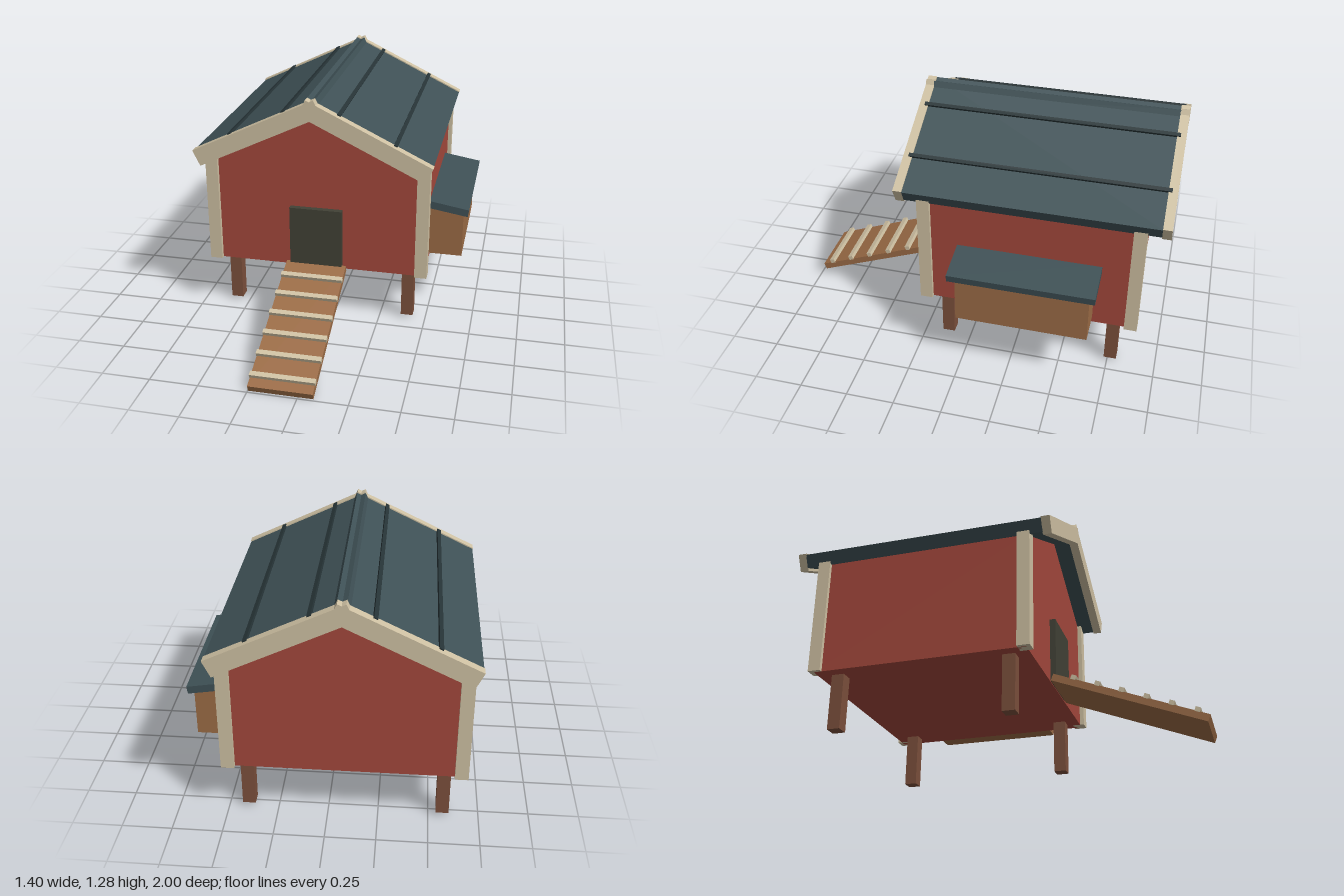
import * as THREE from 'three';

const mat = (name, color) => Object.assign(new THREE.MeshStandardMaterial({ color }), { name });

export function createModel() {
  const red = mat('barn red', 0xa4483c);
  const cream = mat('cream trim', 0xcfc1a3);
  const slate = mat('slate roof', 0x3f5156);
  const seam = mat('dark seam', 0x263336);
  const wood = mat('warm wood', 0x9c6c46);
  const legWood = mat('leg wood', 0x7c503c);
  const dark = mat('dark door', 0x424236);

  const model = new THREE.Group();
  model.name = 'henHouse';
  // The house is centred off the origin; the ramp and nest box fill the rest
  const house = new THREE.Group();
  house.name = 'house';
  house.position.set(-0.085, 0, -0.3225);
  model.add(house);

  const add = (parent, name, geometry, material, x = 0, y = 0, z = 0) => {
    const mesh = new THREE.Mesh(geometry, material);
    mesh.name = name;
    mesh.position.set(x, y, z);
    parent.add(mesh);
    return mesh;
  };
  const box = (parent, name, material, size, pos) =>
    add(parent, name, new THREE.BoxGeometry(...size), material, ...pos);
  const prism = (points, depth) => new THREE.ExtrudeGeometry(
    new THREE.Shape(points.map(([x, y]) => new THREE.Vector2(x, y))),
    { depth, bevelEnabled: false });

  // Gabled body
  const hw = 0.575, hd = 0.545;
  add(house, 'body', prism(
    [[-hw, 0.305], [hw, 0.305], [hw, 0.91], [0, 1.188], [-hw, 0.91]], hd * 2), red, 0, 0, -hd);

  // Corner posts and legs
  for (const sx of [-1, 1]) for (const sz of [-1, 1]) {
    box(house, 'cornerPost', cream, [0.065, 0.62, 0.065], [sx * 0.5625, 0.615, sz * 0.535]);
    box(house, 'leg', legWood, [0.065, 0.29, 0.065], [sx * 0.485, 0.165, sz * 0.4425]);
  }

  // Roof halves: local x runs up the slope, y = 0 is the top of the barge boards
  const pitch = Math.atan(0.483), slope = 0.711;
  for (const side of [-1, 1]) {
    const half = new THREE.Group();
    half.name = side < 0 ? 'rightRoof' : 'leftRoof';
    half.position.set(side * 0.62, 0.97, 0);
    half.rotation.z = -side * pitch;
    house.add(half);
    const mid = -side * slope / 2;
    box(half, 'roofPanel', slate, [slope, 0.07, 1.27], [mid, -0.041, 0]);
    for (const sz of [-1, 1])
      box(half, 'bargeBoard', cream, [slope, 0.09, 0.045], [mid, -0.045, sz * 0.655]);
    for (const d of [0.142, 0.427])
      box(half, 'roofSeam', seam, [0.02, 0.016, 1.3],
        [-side * (0.62 - d) / Math.cos(pitch), -0.002, 0]);
  }

  // Door
  box(house, 'door', dark, [0.28, 0.345, 0.03], [0, 0.4775, 0.5625]);

  // Ramp with cleats: local z runs down the ramp, y = 0 is its upper face
  const ramp = new THREE.Group();
  ramp.name = 'ramp';
  const fall = Math.atan2(0.297, 0.755), length = Math.hypot(0.297, 0.755);
  ramp.position.set(-0.085, 0.333, 0.245);
  ramp.rotation.x = fall;
  model.add(ramp);
  box(ramp, 'rampBoard', wood, [0.325, 0.037, length], [0, -0.0185, length / 2]);
  for (let i = 0; i < 6; i++)
    box(ramp, 'cleat', cream, [0.33, 0.024, 0.026],
      [0, 0.008, (0.1 + i * 0.119) / Math.cos(fall)]);

  // Nest box with sloping lid
  add(model, 'nestBox', prism(
    [[0.47, 0.34], [0.67, 0.34], [0.67, 0.603], [0.47, 0.635]], 0.67), wood, 0, 0, -0.66);
  add(model, 'nestLid', prism(
    [[0.466, 0.627], [0.694, 0.59], [0.7, 0.629], [0.472, 0.667]], 0.735), slate, 0, 0, -0.69);

  return model;
}
